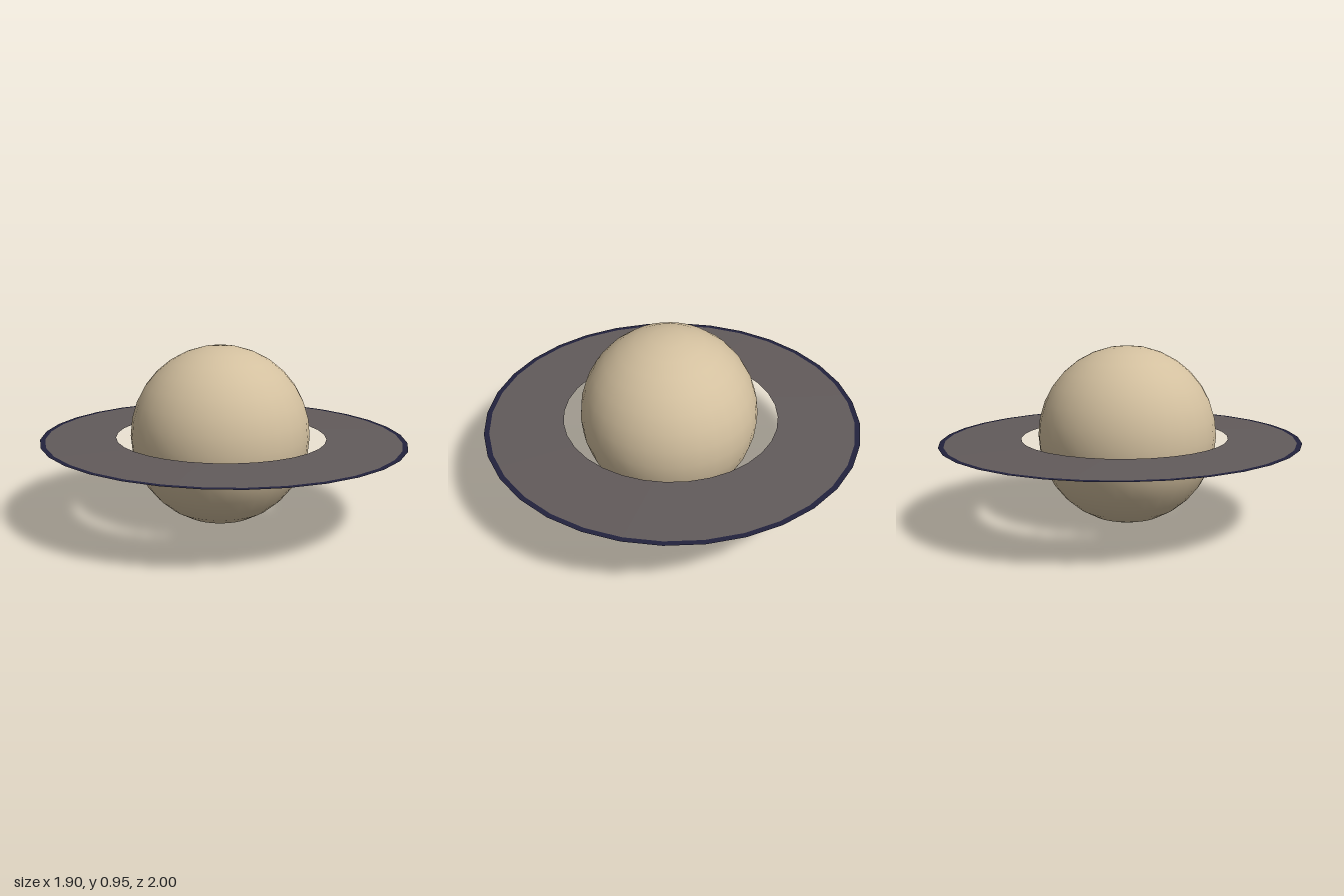
import * as THREE from 'three';

const SEGMENTS = 32;

// Loop outlines: centre x/z, radii along x/z, and height
const HOLE = { cx: -0.018, cz: 0.009, rx: 0.547, rz: 0.574, y: 0.461 };
const SEAM = { cx: 0, cz: 0, rx: 0.924, rz: 0.972, y: 0.451 };
const EDGE = { cx: 0, cz: 0, rx: 0.951, rz: 1.0, y: 0.45 };

// Thin upward-facing band between two elliptical loops
function bandGeometry(inner, outer) {
  const geometry = new THREE.PlaneGeometry(1, 1, SEGMENTS, 1);
  const pos = geometry.attributes.position;
  for (let i = 0; i < pos.count; i++) {
    const angle = (pos.getX(i) + 0.5) * Math.PI * 2;
    const loop = pos.getY(i) > 0 ? outer : inner;
    pos.setXYZ(i, loop.cx + loop.rx * Math.cos(angle), loop.y, loop.cz + loop.rz * Math.sin(angle));
  }
  geometry.computeVertexNormals();
  return geometry;
}

export function createModel() {
  const model = new THREE.Group();
  model.name = 'ringedPlanet';

  const sand = new THREE.MeshStandardMaterial({ color: 0xd3c09f });
  sand.name = 'sand';
  const dustGrey = new THREE.MeshStandardMaterial({ color: 0x625b5b, side: THREE.DoubleSide });
  dustGrey.name = 'dustGrey';
  const darkNavy = new THREE.MeshStandardMaterial({ color: 0x22223d, side: THREE.DoubleSide });
  darkNavy.name = 'darkNavy';

  const add = (name, geometry, material) => {
    const mesh = new THREE.Mesh(geometry, material);
    mesh.name = name;
    model.add(mesh);
    return mesh;
  };

  // Globe, slightly off the middle of the ring
  add('globe', new THREE.SphereGeometry(0.474, SEGMENTS, 16), sand).position.set(-0.028, 0.475, 0.018);

  // Broad, faintly conical ring and its dark outer rim
  add('ring', bandGeometry(HOLE, SEAM), dustGrey);
  add('ringRim', bandGeometry(SEAM, EDGE), darkNavy);

  return model;
}
